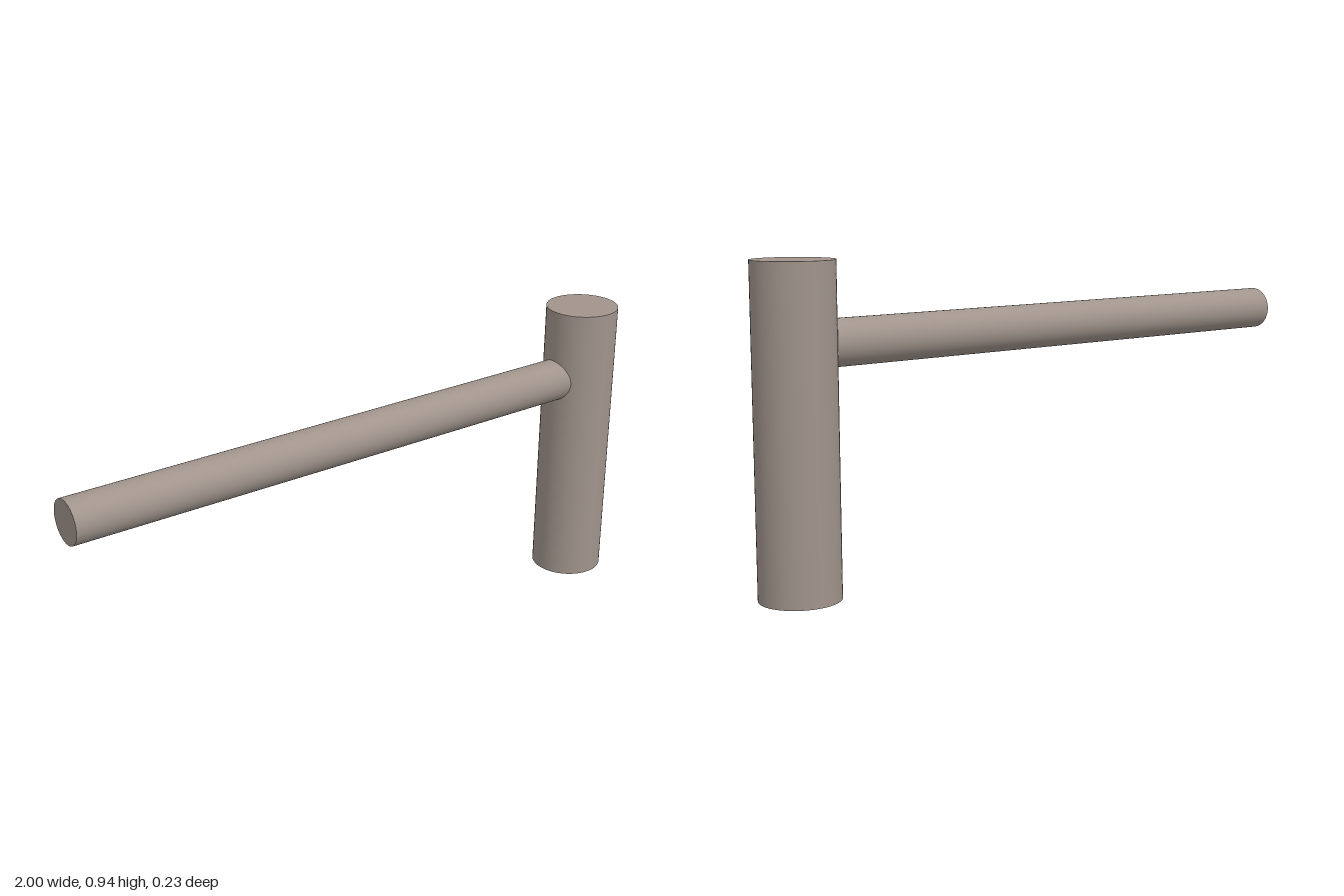
import * as THREE from 'three';

const HEAD_RADIUS = 0.117;
const HEAD_HEIGHT = 0.942;
const HEAD_X = 1 - HEAD_RADIUS;
const HANDLE_RADIUS = 0.068;
const HANDLE_Y = 0.707;

export function createModel() {
  const model = new THREE.Group();
  model.name = 'mallet';

  const material = new THREE.MeshStandardMaterial({ color: 0xa0948c });
  material.name = 'warm grey';

  function addRod(name, radius, length) {
    const rod = new THREE.Mesh(new THREE.CylinderGeometry(radius, radius, length, 64), material);
    rod.name = name;
    model.add(rod);
    return rod;
  }

  // Upright head standing on the ground
  const head = addRod('head', HEAD_RADIUS, HEAD_HEIGHT);
  head.position.set(HEAD_X, HEAD_HEIGHT / 2, 0);

  // Horizontal handle, ending inside the head
  const handle = addRod('handle', HANDLE_RADIUS, HEAD_X + 1);
  handle.rotation.z = Math.PI / 2;
  handle.position.set((HEAD_X - 1) / 2, HANDLE_Y, 0);

  return model;
}
